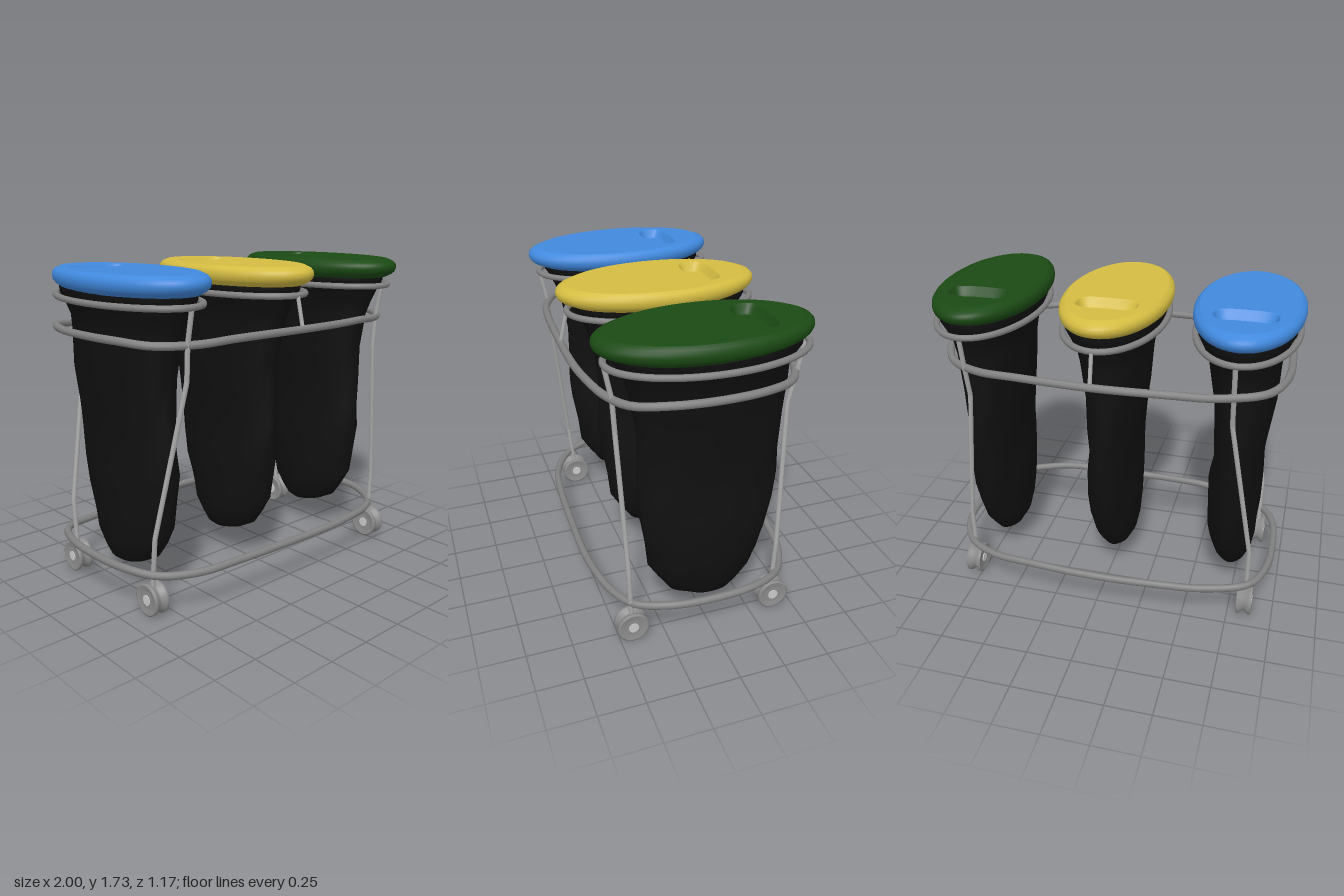
import * as THREE from 'three';

const V = (x, y, z) => new THREE.Vector3(x, y, z);
const mat = (color) => new THREE.MeshStandardMaterial({ color });
const steel = mat(0x808080);
const thinSteel = mat(0xa8a8a8);
const wheelGrey = mat(0x8c8c8c);
const hubGrey = mat(0xcccccc);
const bagBlack = mat(0x101010);

function add(parent, name, geometry, material) {
  const mesh = new THREE.Mesh(geometry, material);
  mesh.name = name;
  parent.add(mesh);
  return mesh;
}

// Super-elliptical ring; exponent 1 is a true ellipse, smaller is boxier
function ring(y, rx, rz, cx = 0, cz = 0, n = 48, e = 1) {
  const pow = (v) => Math.sign(v) * Math.abs(v) ** e;
  return Array.from({ length: n }, (_, j) => {
    const t = (j / n) * Math.PI * 2;
    return V(cx + rx * pow(Math.cos(t)), y, cz + rz * pow(Math.sin(t)));
  });
}

// Skin over rings of equal count; rising rings face outward, falling ones inward
function loft(rings) {
  const n = rings[0].length, index = [];
  for (let i = 0; i < rings.length - 1; i++) {
    for (let j = 0; j < n; j++) {
      const k = (j + 1) % n, a = i * n, b = a + n;
      index.push(a + j, b + j, a + k, a + k, b + j, b + k);
    }
  }
  const g = new THREE.BufferGeometry().setFromPoints(rings.flat());
  g.setIndex(index);
  g.computeVertexNormals();
  return g;
}

// Bent rod along a list of points
function rod(points, radius, closed = false, segments = 24) {
  const curve = new THREE.CatmullRomCurve3(points, closed, 'centripetal');
  return new THREE.TubeGeometry(curve, segments, radius, 10, closed);
}

// Hanging bag: y, x min, x max, z min, z max
const BAG = [
  [0.14, -0.05, 0.03, -0.12, 0.00],
  [0.17, -0.09, 0.07, -0.17, 0.10],
  [0.22, -0.12, 0.105, -0.21, 0.20],
  [0.30, -0.135, 0.13, -0.27, 0.26],
  [0.40, -0.14, 0.15, -0.31, 0.315],
  [0.55, -0.15, 0.155, -0.36, 0.335],
  [0.70, -0.15, 0.155, -0.385, 0.365],
  [0.85, -0.145, 0.13, -0.405, 0.37],
  [1.00, -0.16, 0.14, -0.41, 0.365],
  [1.20, -0.185, 0.15, -0.42, 0.37],
  [1.40, -0.195, 0.185, -0.42, 0.40],
  [1.48, -0.205, 0.20, -0.42, 0.42],
  [1.56, -0.24, 0.24, -0.455, 0.455],
  [1.60, -0.26, 0.26, -0.48, 0.48],
  [1.64, -0.26, 0.26, -0.48, 0.48],
];

function bagGeometry() {
  const rings = BAG.map(([y, x0, x1, z0, z1], i) => {
    const cx = (x0 + x1) / 2, cz = (z0 + z1) / 2;
    const pts = ring(y, (x1 - x0) / 2, (z1 - z0) / 2, cx, cz, 28);
    // Soft creases, fading out at the mouth
    const amount = i > 10 ? 0 : 0.015;
    pts.forEach((p, j) => {
      const s = 1 - amount * (1 + Math.sin(j * 1.35 + i * 1.9));
      p.x = cx + (p.x - cx) * s;
      p.z = cz + (p.z - cz) * s;
    });
    return pts;
  });
  return loft([ring(0.14, 0, 0, -0.01, -0.06, 28), ...rings]);
}

function createLid(material) {
  const lid = new THREE.Group();
  lid.name = 'lid';
  // Rounded rim and underside
  const profile = [
    [1.625, 0, 0], [1.625, 0.255, 0.48], [1.625, 0.255, 0.48], [1.645, 0.277, 0.525],
    [1.66, 0.286, 0.542], [1.68, 0.29, 0.55], [1.70, 0.288, 0.546], [1.715, 0.278, 0.53], [1.728, 0.26, 0.49],
  ];
  add(lid, 'lidRim', loft(profile.map(([y, rx, rz]) => ring(y, rx, rz, 0, 0.02, 64))), material);

  // Flat top with an opening for the grip
  const flat = (pts) => pts.map((p) => new THREE.Vector2(p.x, -p.z));
  const grip = (y, rx, rz) => ring(y, rx, rz, 0, -0.225, 40, 0.62);
  const top = new THREE.Shape(flat(ring(0, 0.26, 0.49, 0, 0.02, 64)));
  top.holes.push(new THREE.Path(flat(grip(0, 0.165, 0.085))));
  const topGeometry = new THREE.ShapeGeometry(top).rotateX(-Math.PI / 2).translate(0, 1.728, 0);
  add(lid, 'lidTop', topGeometry, material);

  // Sunken grip
  const pocket = [
    [1.728, 0.165, 0.085], [1.72, 0.158, 0.078], [1.69, 0.145, 0.062],
    [1.68, 0.135, 0.052], [1.68, 0.135, 0.052], [1.68, 0, 0],
  ];
  add(lid, 'lidGrip', loft(pocket.map((p) => grip(...p))), material);
  return lid;
}

// Closed rail, waving slightly in height
function railGeometry(y) {
  const outline = [
    [0, 0.558], [0.3, 0.56], [0.5, 0.54], [0.65, 0.5], [0.79, 0.42], [0.88, 0.25], [0.905, 0],
    [0.88, -0.25], [0.79, -0.41], [0.62, -0.505], [0.4, -0.545], [0, -0.568], [-0.4, -0.55], [-0.62, -0.51],
    [-0.86, -0.43], [-0.94, -0.25], [-0.955, 0], [-0.93, 0.22], [-0.84, 0.385], [-0.65, 0.495], [-0.45, 0.535],
  ];
  const pts = outline.map(([x, z]) => {
    const ax = Math.abs(x);
    const wave = ax > 0.85 ? 0.008 : ax > 0.5 ? -0.006 : 0.004;
    return V(x, y + wave, z);
  });
  return rod(pts, 0.021, true, 120);
}

// Grooved castor with a hub plate on each side
function createWheel() {
  const wheel = new THREE.Group();
  wheel.name = 'wheel';
  const profile = [
    [0, -0.038], [0.05, -0.038], [0.05, -0.038], [0.08, -0.043], [0.08, -0.043], [0.087, -0.04], [0.086, -0.025],
    [0.068, -0.006], [0.068, 0.006], [0.086, 0.025], [0.087, 0.04], [0.08, 0.043], [0.08, 0.043],
    [0.05, 0.038], [0.05, 0.038], [0, 0.038],
  ].map(([r, h]) => new THREE.Vector2(r, h));
  const tyre = new THREE.LatheGeometry(profile, 32).rotateZ(Math.PI / 2);
  add(wheel, 'wheelBody', tyre, wheelGrey);
  const hub = new THREE.CylinderGeometry(0.028, 0.028, 0.086, 20).rotateZ(Math.PI / 2);
  add(wheel, 'wheelHub', hub, hubGrey);
  return wheel;
}

export function createModel() {
  const model = new THREE.Group();
  model.name = 'tripleBinTrolley';

  // Bins, each with bag, support ring and coloured lid
  [[-0.71, 0x4189de], [0, 0xd4bc42], [0.705, 0x1b4a14]].forEach(([x, color]) => {
    const bin = new THREE.Group();
    bin.name = 'bin';
    bin.position.x = x;
    add(bin, 'bag', bagGeometry(), bagBlack);
    add(bin, 'bagRing', rod(ring(1.58, 0.27, 0.515, 0, 0, 32), 0.017, true, 80), steel);
    bin.add(createLid(mat(color)));
    model.add(bin);
  });

  // Upper and lower rails
  add(model, 'upperRail', railGeometry(1.405), steel);
  add(model, 'lowerRail', railGeometry(0.232), steel);

  // Short struts holding the middle ring
  for (const s of [1, -1]) {
    add(model, 'middleStrut', rod([V(0, 1.58, s * 0.52), V(0, 1.41, s * 0.56)], 0.011), thinSteel);
  }

  // Legs with wheels: top x, foot x, foot z
  const legs = [[0.705, 0.785, 0.43], [0.705, 0.785, -0.385], [-0.705, -0.845, 0.34], [-0.705, -0.845, -0.37]];
  for (const [tx, fx, fz] of legs) {
    const s = Math.sign(fz);
    const kneeZ = s * (s > 0 ? 0.47 : 0.44);
    const path = new THREE.CurvePath();
    const pts = [
      V(tx, 1.58, s * 0.515), V(tx, 1.4, s * 0.48), V(tx, 1.22, kneeZ),
      V(fx, 0.42, fz + (kneeZ - fz) * 0.25), V(fx, 0.1, fz),
    ];
    for (let i = 1; i < pts.length; i++) path.add(new THREE.LineCurve3(pts[i - 1], pts[i]));
    add(model, 'leg', new THREE.TubeGeometry(path, 60, 0.013, 10), thinSteel);
    const wheel = createWheel();
    wheel.position.set(fx - Math.sign(fx) * 0.002, 0.088, fz);
    model.add(wheel);
  }
  return model;
}
